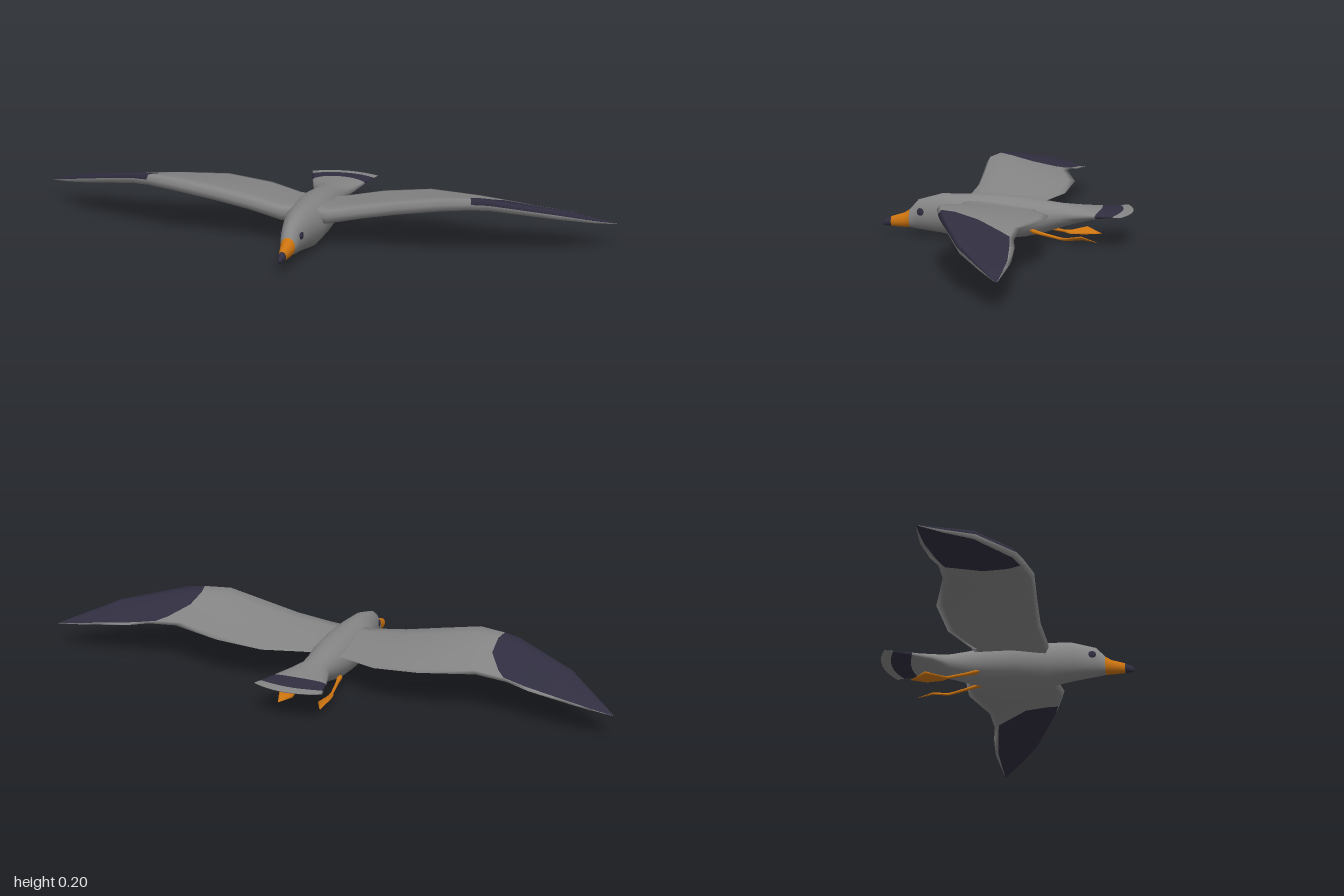
import * as THREE from 'three';

const V = (x, y, z) => new THREE.Vector3(x, y, z);
const lerp = THREE.MathUtils.lerp;

function material(name, color) {
  const m = new THREE.MeshStandardMaterial({ color });
  m.name = name;
  return m;
}

// Skin a list of closed rings; pick(i, j) gives the material index of each quad
function loft(name, rings, materials, pick = () => 0, side = 1) {
  const n = rings[0].length;
  const faces = materials.map(() => []);
  for (let i = 0; i < rings.length - 1; i++) {
    for (let j = 0; j < n; j++) {
      const a = i * n + j, b = i * n + (j + 1) % n, c = a + n, d = b + n;
      const list = faces[pick(i, j)];
      if (side > 0) list.push(a, c, b, b, c, d);
      else list.push(a, b, c, b, d, c);
    }
  }
  const points = rings.flat().map(p => V(p.x * side, p.y, p.z));
  const geo = new THREE.BufferGeometry().setFromPoints(points);
  geo.setIndex(faces.flat());
  let start = 0;
  faces.forEach((f, k) => {
    if (f.length) geo.addGroup(start, f.length, k);
    start += f.length;
  });
  geo.computeVertexNormals();
  const mesh = new THREE.Mesh(geo, materials);
  mesh.name = name;
  return mesh;
}

// Elliptical ring facing along z; tilt leans it, bow sweeps its sides forward
function ellipseRing(n, z, cx, cy, rx, ry, tilt = 0, bow = 0) {
  return Array.from({ length: n }, (_, j) => {
    const t = j / n * Math.PI * 2, c = Math.cos(t);
    return V(cx + rx * c, cy + ry * Math.sin(t) + tilt * rx * c, z + bow * c * c);
  });
}

// z, bottom, top, half width, bow
const BODY = [
  [0.427, 0.04, 0.042, 0.001, 0],
  [0.422, 0.034, 0.052, 0.006, 0],
  [0.395, 0.032, 0.066, 0.013, 0],
  [0.35, 0.03, 0.08, 0.021, 0],
  [0.33, 0.03, 0.093, 0.025, 0],
  [0.3, 0.025, 0.127, 0.033, 0],
  [0.22, 0.015, 0.15, 0.05, 0],
  [0.14, 0.0, 0.152, 0.068, 0],
  [0.03, 0.005, 0.153, 0.073, 0],
  [-0.065, 0.011, 0.147, 0.069, 0],
  [-0.13, 0.027, 0.137, 0.058, 0],
  [-0.19, 0.048, 0.129, 0.053, 0],
  [-0.25, 0.068, 0.124, 0.074, 0.005],
  [-0.325, 0.087, 0.118, 0.095, 0.015],
  [-0.395, 0.102, 0.112, 0.112, 0.025],
  [-0.428, 0.106, 0.11, 0.12, 0.03],
  [-0.429, 0.108, 0.108, 0.12, 0.03],
];

// leading point, trailing point, thickness, sideways bow
const WING = [
  [V(0.03, 0.11, 0.14), V(0.03, 0.115, -0.1), 0.05, 0],
  [V(0.08, 0.112, 0.148), V(0.08, 0.115, -0.112), 0.045, 0],
  [V(0.2, 0.135, 0.135), V(0.2, 0.125, -0.172), 0.042, 0],
  [V(0.31, 0.157, 0.138), V(0.36, 0.14, -0.185), 0.042, 0],
  [V(0.46, 0.184, 0.145), V(0.54, 0.145, -0.135), 0.042, -0.02],
  [V(0.555, 0.187, 0.122), V(0.645, 0.135, -0.132), 0.038, -0.05],
  [V(0.61, 0.184, 0.106), V(0.72, 0.122, -0.145), 0.036, -0.03],
  [V(0.82, 0.14, 0.01), V(0.84, 0.108, -0.155), 0.03, 0],
  [V(0.92, 0.107, -0.07), V(0.93, 0.093, -0.147), 0.018, 0],
  [V(1, 0.083, -0.135), V(1, 0.083, -0.14), 0.002, 0],
];
const FIRST_DARK_BAND = 5;

// Wing section: chord fraction and height, from the nose over the top and back
const AIRFOIL = [
  [0, 0], [0.04, 0.45], [0.2, 0.5], [0.5, 0.35], [0.8, 0.12], [0.93, 0.05],
  [1, 0], [0.93, -0.06], [0.5, -0.15], [0.2, -0.4], [0.04, -0.5],
];
const GREY_WING_STRIPS = [5, 6, 10];

// z, x, y, half width, half height, tilt
const LEG = [
  [-0.085, 0.05, 0.044, 0.001, 0.001, 0],
  [-0.1, 0.052, 0.04, 0.01, 0.008, 0],
  [-0.13, 0.056, 0.033, 0.006, 0.006, 0],
  [-0.19, 0.064, 0.021, 0.005, 0.005, 0],
  [-0.21, 0.066, 0.018, 0.011, 0.005, 0.3],
  [-0.265, 0.069, 0.025, 0.024, 0.004, 0.4],
  [-0.315, 0.074, 0.014, 0.001, 0.001, 0],
];

export function createModel() {
  const grey = material('grey plumage', 0x858585);
  const dark = material('dark plumage', 0x302e40);
  const orange = material('orange beak and feet', 0xcc7410);
  const model = new THREE.Group();
  model.name = 'seabird';

  // Head, body and tail, with the beak and tail band coloured by ring
  const bodyRings = BODY.map(([z, lo, hi, w, bow]) =>
    ellipseRing(20, z, 0, (lo + hi) / 2, w, (hi - lo) / 2, 0, bow));
  model.add(loft('body', bodyRings, [grey, dark, orange], i =>
    i < 2 || i === 13 ? 1 : i < 4 ? 2 : 0));

  const wingRings = WING.map(([lead, trail, thick, bow]) => AIRFOIL.map(([f, h]) => V(
    lerp(lead.x, trail.x, f) + bow * Math.sin(Math.PI * f),
    lerp(lead.y, trail.y, f) + h * thick,
    lerp(lead.z, trail.z, f))));
  const legRings = LEG.map(([z, x, y, rx, ry, tilt]) =>
    ellipseRing(8, z, x, y, rx, ry, tilt));
  const eyeGeometry = new THREE.SphereGeometry(0.013, 16, 10);

  for (const side of [1, -1]) {
    const label = side > 0 ? 'left' : 'right';

    // Wing with a dark tip, grey trailing edge and grey leading underside
    model.add(loft(label + 'Wing', wingRings, [grey, dark], (i, j) =>
      i >= FIRST_DARK_BAND && !GREY_WING_STRIPS.includes(j) ? 1 : 0, side));

    // Trailing leg and webbed foot
    model.add(loft(label + 'Leg', legRings, [orange], () => 0, side));

    // Eye
    const eye = new THREE.Mesh(eyeGeometry, dark);
    eye.name = label + 'Eye';
    eye.scale.x = 0.35;
    eye.position.set(side * 0.034, 0.09, 0.288);
    eye.rotation.y = -side * 0.23;
    model.add(eye);
  }
  return model;
}
